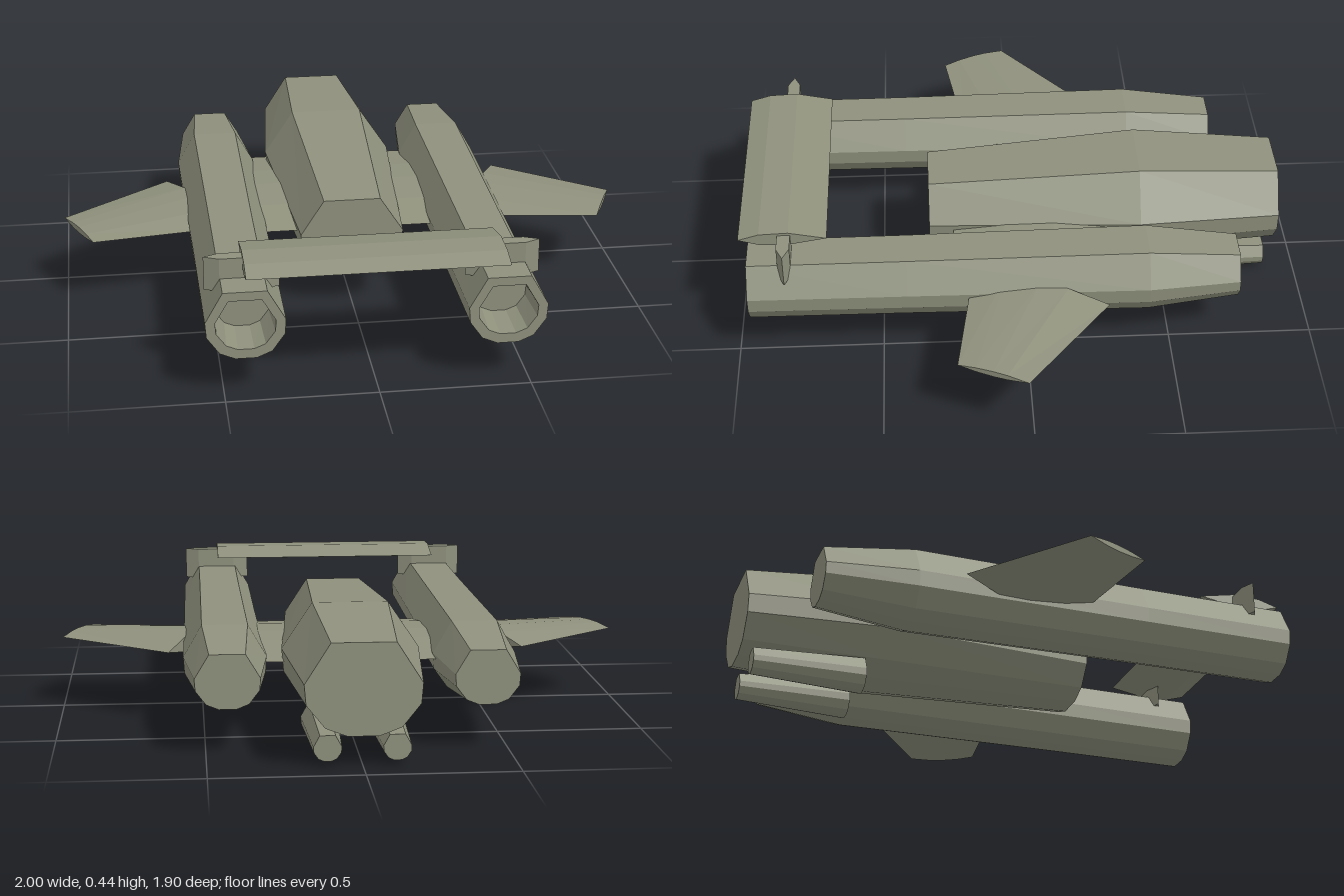
import * as THREE from 'three';

const hull = new THREE.MeshStandardMaterial({ color: 0x8f917d });
hull.name = 'olive grey hull';

// Skins a list of cross-sections (loops of [x, y, z]) with flat faces and capped ends.
function loft(name, sections, mirror = false) {
  if (mirror) sections = sections.map(s => s.map(([x, y, z]) => [-x, y, z]).reverse());
  const pos = [];
  const tri = (a, b, c) => pos.push(...a, ...b, ...c);
  const n = sections[0].length;
  for (let s = 0; s < sections.length - 1; s++) {
    const a = sections[s], b = sections[s + 1];
    for (let i = 0; i < n; i++) {
      const j = (i + 1) % n;
      tri(a[i], a[j], b[j]);
      tri(a[i], b[j], b[i]);
    }
  }
  const first = sections[0], last = sections[sections.length - 1];
  for (let i = 1; i < n - 1; i++) {
    tri(first[0], first[i + 1], first[i]);
    tri(last[0], last[i], last[i + 1]);
  }
  const geo = new THREE.BufferGeometry();
  geo.setAttribute('position', new THREE.Float32BufferAttribute(pos, 3));
  geo.computeVertexNormals();
  const mesh = new THREE.Mesh(geo, hull);
  mesh.name = name;
  return mesh;
}

// Ten-sided body section with a flat top: [half width, height] fractions, bottom to top.
const HALF = [[0.27, 0], [0.65, 0.09], [0.97, 0.34], [1, 0.56], [0.55, 1]];
const BODY = [...HALF, ...HALF.map(([x, y]) => [-x, y]).reverse()];
const bodySection = (cx, halfWidth, y0, y1, z) =>
  BODY.map(([u, v]) => [cx + u * halfWidth, y0 + v * (y1 - y0), z]);

// Lens-shaped wing section between a rear point and a front point [x, z].
const LENS = [[0, 0], [0.3, 0.85], [0.5, 1], [0.75, 0.75], [1, 0], [0.75, -0.75], [0.5, -1], [0.3, -0.85]];
const wingSection = (rear, front, y, halfThick) => LENS.map(([t, h]) => [
  rear[0] + (front[0] - rear[0]) * t, y + h * halfThick, rear[1] + (front[1] - rear[1]) * t]);

export function createModel() {
  const model = new THREE.Group();
  model.name = 'twinBoomCraft';

  // Central hull, widest behind the middle
  model.add(loft('fuselage', [
    bodySection(0, 0.19, 0.105, 0.41, -0.92),
    bodySection(0, 0.235, 0.085, 0.445, -0.42),
    bodySection(0, 0.18, 0.11, 0.393, 0.33),
  ]));

  // Wing centre section joining the hull and both booms
  model.add(loft('centreWing', [
    wingSection([-0.43, -0.465], [-0.43, 0.245], 0.25, 0.036),
    wingSection([0.43, -0.465], [0.43, 0.245], 0.25, 0.036),
  ]));

  // Stabilizer bridging the boom noses
  const bar = [[0.68, 0.418], [0.81, 0.445], [0.91, 0.441], [0.982, 0.42], [0.91, 0.398], [0.81, 0.396]];
  model.add(loft('stabilizer', [-0.425, 0.425].map(x => bar.map(([z, y]) => [x, y, z]))));

  for (const [side, mirror] of [['left', false], ['right', true]]) {
    // Engine boom with an open intake at the front
    model.add(loft(side + 'EngineBoom', [
      bodySection(0.427, 0.108, 0.155, 0.338, -0.735),
      bodySection(0.427, 0.142, 0.12, 0.373, -0.42),
      bodySection(0.427, 0.133, 0.128, 0.366, 0.41),
      bodySection(0.427, 0.13, 0.13, 0.365, 0.955),
      bodySection(0.427, 0.098, 0.163, 0.335, 0.955),
      bodySection(0.427, 0.09, 0.17, 0.325, 0.8),
    ], mirror));

    // Swept outer wing
    model.add(loft(side + 'OuterWing', [
      wingSection([0.62, -0.275], [0.42, 0.182], 0.247, 0.032),
      wingSection([1.0, 0.02], [0.9, 0.25], 0.247, 0.011),
    ], mirror));

    // Upright fin carrying the stabilizer
    const fin = [[0.55, 0.825], [0.5, 0.803], [0.36, 0.803], [0.305, 0.825], [0.36, 0.848], [0.5, 0.848]];
    model.add(loft(side + 'StabilizerFin',
      [0.32, 0.435].map(y => fin.map(([x, z]) => [x, y, z])), mirror));

    // Slim pod under the rear of the hull
    model.add(loft(side + 'BellyPod', [
      bodySection(0.113, 0.046, 0.015, 0.1, -0.885),
      bodySection(0.113, 0.062, 0.0, 0.115, -0.49),
    ], mirror));
  }
  return model;
}
